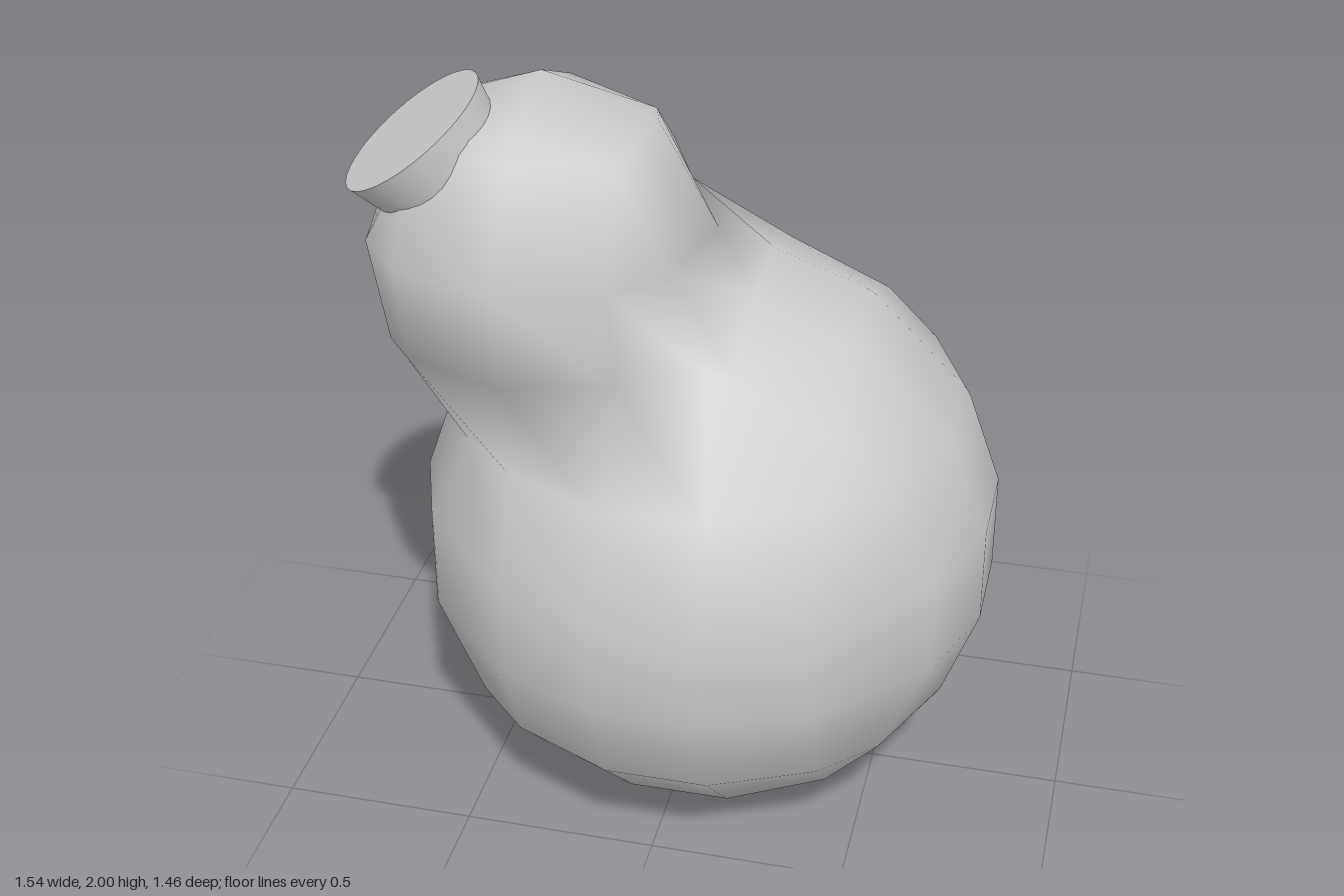
import * as THREE from 'three';
import { ConvexGeometry } from 'three/addons/geometries/ConvexGeometry.js';

const STEP = 0.256;
const ORIGIN = new THREE.Vector3(-0.082, 0.348, -0.128); // a lattice node
const BELLY = { c: new THREE.Vector3(0.045, 0.73, 0), r: 0.75 };
const NECK = { c: new THREE.Vector3(-0.335, 1.56, 0.175), r: 0.43 };
const CORE = new THREE.Vector3(-0.1, 1.0, 0.06); // sees the whole skin
const BLEND = 0.14;

// Two balls melted together: negative inside, positive outside
function field(p) {
  const a = p.distanceTo(BELLY.c) - BELLY.r;
  const b = p.distanceTo(NECK.c) - NECK.r;
  const h = Math.max(BLEND - Math.abs(a - b), 0) / BLEND;
  return Math.min(a, b) - h * h * BLEND / 4;
}

// Point on the skin between an inside and an outside point
function crossing(inside, outside) {
  const a = inside.clone(), b = outside.clone(), m = new THREE.Vector3();
  for (let i = 0; i < 30; i++) {
    m.lerpVectors(a, b, 0.5);
    (field(m) < 0 ? a : b).copy(m);
  }
  return m;
}

function skinNormal(p) {
  const e = 0.002, n = new THREE.Vector3();
  for (const axis of ['x', 'y', 'z']) {
    const q = p.clone(), s = p.clone();
    q[axis] += e;
    s[axis] -= e;
    n[axis] = field(q) - field(s);
  }
  return n.normalize();
}

// Coarse skin: vertices where the lattice lines cut the melted balls
function gourdGeometry() {
  const directions = [];
  for (let i = -4; i <= 5; i++) for (let j = -3; j <= 8; j++) for (let k = -4; k <= 5; k++) {
    const p = new THREE.Vector3(i, j, k).multiplyScalar(STEP).add(ORIGIN);
    for (const axis of ['x', 'y', 'z']) {
      const q = p.clone();
      q[axis] += STEP;
      const pIn = field(p) < 0, qIn = field(q) < 0;
      if (pIn === qIn) continue;
      const hit = pIn ? crossing(p, q) : crossing(q, p);
      directions.push(hit.sub(CORE).normalize());
    }
  }
  // Triangulate the directions on a unit ball, then push them out to the skin
  const geometry = new ConvexGeometry(directions);
  const pos = geometry.attributes.position, nor = geometry.attributes.normal;
  const v = new THREE.Vector3();
  for (let i = 0; i < pos.count; i++) {
    v.fromBufferAttribute(pos, i).normalize().multiplyScalar(2.5).add(CORE);
    const hit = crossing(CORE, v), n = skinNormal(hit);
    pos.setXYZ(i, hit.x, hit.y, hit.z);
    nor.setXYZ(i, n.x, n.y, n.z);
  }
  return geometry;
}

export function createModel() {
  const group = new THREE.Group();
  const material = new THREE.MeshStandardMaterial({ color: 0xcccccc });

  const body = new THREE.Mesh(gourdGeometry(), material);
  body.name = 'gourdBody';
  group.add(body);

  // Tilted, tapered stem with a flat cut end
  const length = 0.24;
  const axis = new THREE.Vector3(-0.57, 0.8, 0.18).normalize();
  const stem = new THREE.Mesh(new THREE.CylinderGeometry(0.2, 0.14, length, 32), material);
  stem.name = 'stem';
  stem.quaternion.setFromUnitVectors(new THREE.Vector3(0, 1, 0), axis);
  stem.position.set(-0.605, 1.88, 0.295).addScaledVector(axis, -length / 2);
  group.add(stem);

  return group;
}
